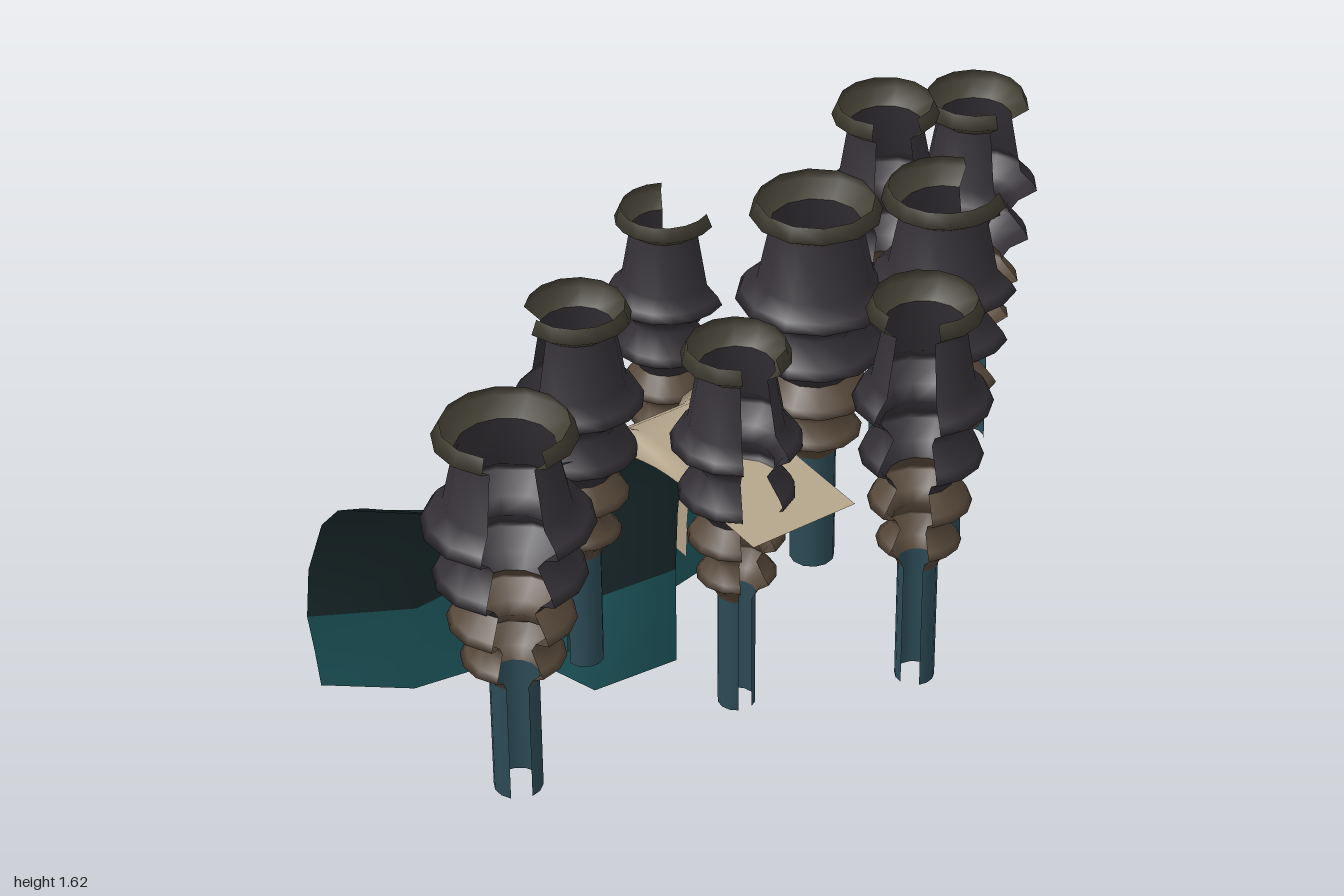
import * as THREE from 'three';

const mat = (color) => new THREE.MeshStandardMaterial({ color, side: THREE.DoubleSide });
const trunkMat = mat(0x2c4a55), lowerMat = mat(0x57483a), upperMat = mat(0x343036), rimMat = mat(0x413e32);

// Half profiles [radius, height] of one tree, split by colour
const TREE = [
  ['trunk', trunkMat, [[0.046, 0], [0.046, 0.32]]],
  ['lowerTiers', lowerMat, [[0.046, 0.32], [0.06, 0.35], [0.097, 0.382], [0.085, 0.395], [0.06, 0.435],
    [0.075, 0.465], [0.118, 0.49], [0.108, 0.507], [0.075, 0.55]]],
  ['upperTiers', upperMat, [[0.075, 0.55], [0.095, 0.585], [0.14, 0.615], [0.13, 0.637], [0.09, 0.69],
    [0.112, 0.725], [0.157, 0.758], [0.145, 0.78], [0.115, 0.81], [0.09, 0.955]]],
  ['rim', rimMat, [[0.09, 0.955], [0.13, 0.985], [0.115, 1.02]]],
];

// x, base height, z, width scale, gap direction and size in degrees, lean towards -x
const TREES = [
  [-0.80, 0.28, 0.205, 1.28, -26, 51, 0],
  [-0.39, 0.28, -0.11, 1.0, -116, 58, 0],
  [-0.195, 0.28, 0.25, 1.0, -8, 45, 0],
  [0.19, 0.43, 0.045, 1.22, 0, 0, 0],
  [0.54, 0.52, -0.10, 1.0, -25, 55, 0.03],
  [0.47, 0.45, 0.2, 1.15, 78, 85, 0.02],
  [0.835, 0.42, -0.14, 1.02, 14, 57, 0.01],
  [0.31, 0.0, -0.735, 1.0, 90, 117, 0],
  [-0.06, 0.605, 0.755, 1.0, -53, 57, 0],
];

function makeTree([x, y, z, width, gapDir, gap, lean]) {
  const tree = new THREE.Group();
  const start = THREE.MathUtils.degToRad(gapDir + gap / 2);
  const sweep = THREE.MathUtils.degToRad(360 - gap);
  for (const [name, material, profile] of TREE) {
    const points = profile.map(([r, h]) => new THREE.Vector2(r * width, h));
    const part = new THREE.Mesh(new THREE.LatheGeometry(points, 12, start, sweep), material);
    part.name = name;
    tree.add(part);
  }
  tree.position.set(x, y, z);
  tree.rotation.z = lean;
  tree.name = 'tree';
  return tree;
}

// Smooth sheet through rows of points
function sheet(rows, material, name) {
  const n = rows[0].length, index = [];
  for (let i = 0; i < rows.length - 1; i++) {
    for (let j = 0; j < n - 1; j++) {
      const a = i * n + j, b = a + 1, c = a + n, d = c + 1;
      index.push(a, c, b, b, c, d);
    }
  }
  const geometry = new THREE.BufferGeometry();
  geometry.setAttribute('position', new THREE.Float32BufferAttribute(rows.flat(2), 3));
  geometry.setIndex(index);
  geometry.computeVertexNormals();
  const mesh = new THREE.Mesh(geometry, material);
  mesh.name = name;
  return mesh;
}

// Hillside columns: top x, y, z, bottom x, y, z, sideways bulge, steepness of the foot
const HILL = [
  [-0.93, 0.89, -0.21, -0.87, 0.12, -0.58, -0.035, 0.45],
  [-0.70, 0.89, 0.01, -0.69, 0.12, -0.43, 0, 0.7],
  [-0.50, 0.94, -0.02, -0.50, 0.12, -0.40, 0, 0.9],
  [-0.38, 0.92, -0.04, -0.38, 0.11, -0.36, 0, 1],
  [-0.27, 0.87, -0.07, -0.29, 0.06, -0.22, 0, 1],
  [-0.05, 0.87, -0.08, -0.05, 0.06, -0.20, 0, 1],
  [0.03, 0.88, -0.10, 0.03, 0.12, -0.38, 0, 1],
  [0.20, 0.90, -0.11, 0.20, 0.135, -0.40, 0, 1],
  [0.35, 0.92, -0.13, 0.35, 0.12, -0.42, 0, 1],
  [0.60, 0.95, -0.24, 0.71, 0.12, -0.56, 0, 0.6],
  [0.93, 1.04, -0.52, 0.92, 0.12, -0.91, -0.1, 0],
];
// Fractions down the slope: height, depth with flared foot, depth with steep foot, bulge
const SLOPE = [[0, 0, 0, 0], [0.09, 0.2, 0.45, 0.25], [0.2, 0.38, 0.7, 0.5], [0.43, 0.6, 0.91, 0.9],
  [0.65, 0.73, 1, 1], [0.82, 0.85, 1, 0.5], [1, 1, 1, 0]];

function makeHill() {
  const { lerp } = THREE.MathUtils;
  const rows = SLOPE.map(([fy, flared, steep, fb]) => HILL.map(([x0, y0, z0, x1, y1, z1, b, k]) =>
    [lerp(x0, x1, fy) + b * fb, lerp(y0, y1, fy), lerp(z0, z1, lerp(flared, steep, k))]));
  const hill = new THREE.Group();
  hill.name = 'hillside';
  hill.add(sheet(rows.slice(0, 5), mat(0x1b2c2e), 'upperSlope'));
  hill.add(sheet(rows.slice(4), mat(0x1f5a60), 'lowerSlope'));
  return hill;
}

// Pale channel running flat, then bending down the back of the hill
function makeChannel() {
  const path = new THREE.CatmullRomCurve3([[0.45, 0.885], [0.3, 0.888], [0.15, 0.892], [0.02, 0.895],
    [-0.1, 0.885], [-0.22, 0.81], [-0.31, 0.64], [-0.35, 0.45], [-0.365, 0.3]]
    .map(([z, y]) => new THREE.Vector3(0, y, z)));
  const section = [[-0.15, -0.08], [-0.145, 0.03], [-0.1, 0], [0, 0], [0.1, 0], [0.14, 0.03], [0.145, -0.08]];
  const rows = [];
  for (let i = 0; i <= 20; i++) {
    const t = i / 20, p = path.getPoint(t), d = path.getTangent(t);
    const lip = THREE.MathUtils.smoothstep(t, 0.2, 0.7);
    const centre = -0.145 + 0.045 * t;
    rows.push(section.map(([x, h]) => [centre + x, p.y - d.z * h * lip, p.z + d.y * h * lip]));
  }
  return sheet(rows, mat(0xb5a58c), 'channel');
}

export function createModel() {
  const model = new THREE.Group();
  model.name = 'hillsideGrove';
  model.add(makeHill(), makeChannel(), ...TREES.map(makeTree));
  return model;
}
